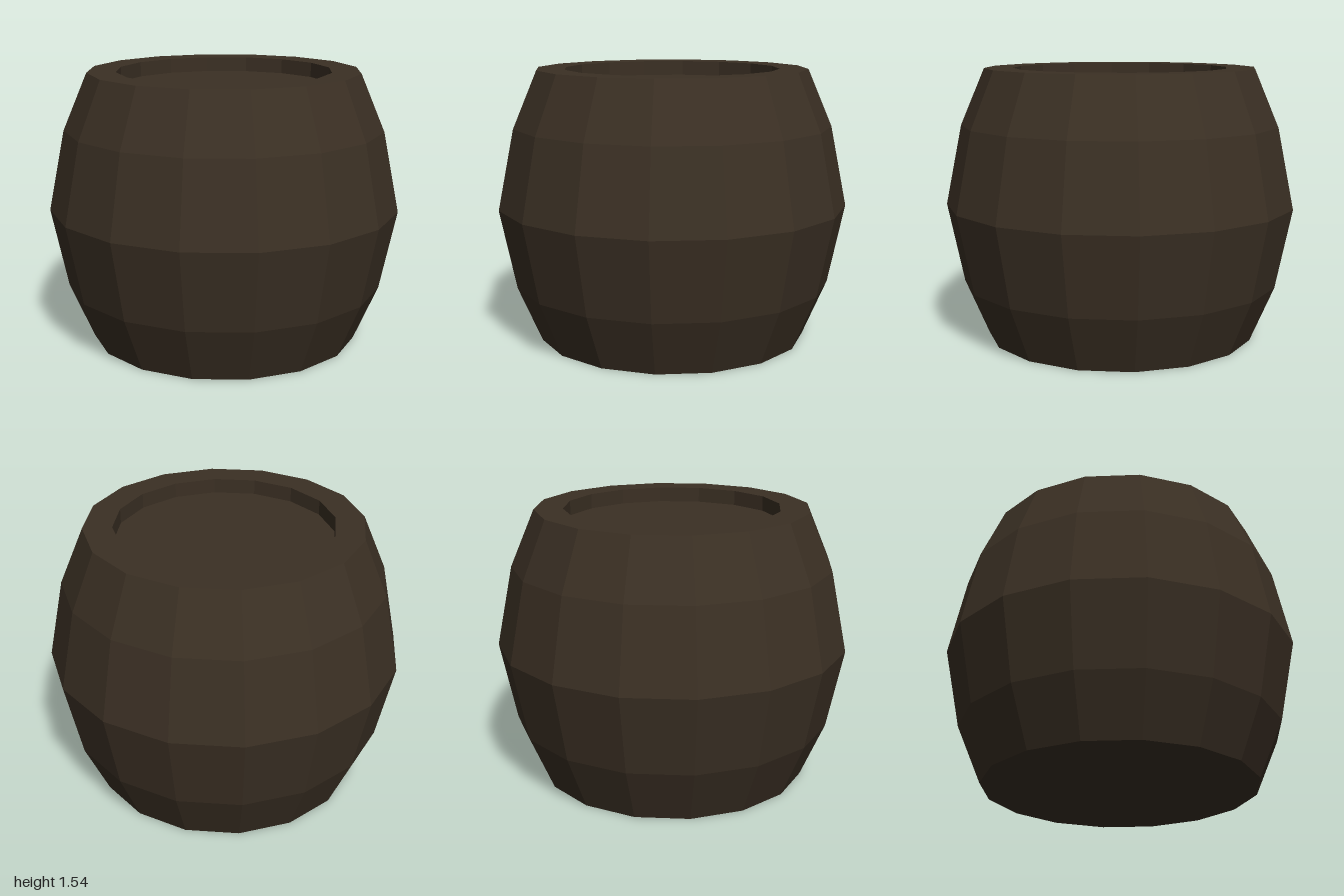
import * as THREE from 'three';

const SIDES = 16;

export function createModel() {
  const wood = new THREE.MeshStandardMaterial({ color: 0x3b3024, flatShading: true });
  wood.name = 'dark wood';

  // Turns a profile of [radius, height] pairs around the y axis
  const turned = (name, profile) => {
    const points = profile.map(([r, y]) => new THREE.Vector2(r, y));
    const mesh = new THREE.Mesh(new THREE.LatheGeometry(points, SIDES), wood);
    mesh.name = name;
    return mesh;
  };

  const top = 1.545, lid = 1.46, rimRadius = 0.61;
  const model = new THREE.Group();
  model.name = 'barrel';
  model.add(
    // Flat base and bulging staves
    turned('staves', [[0, 0], [0.772, 0], [0.908, 0.32], [1, 0.773], [0.908, 1.226], [0.772, top]]),
    // Flat rim with its inner wall
    turned('rim', [[0.772, top], [rimRadius, top], [rimRadius, lid]]),
    // Sunken lid
    turned('lid', [[rimRadius, lid], [0, lid]]),
  );
  return model;
}
